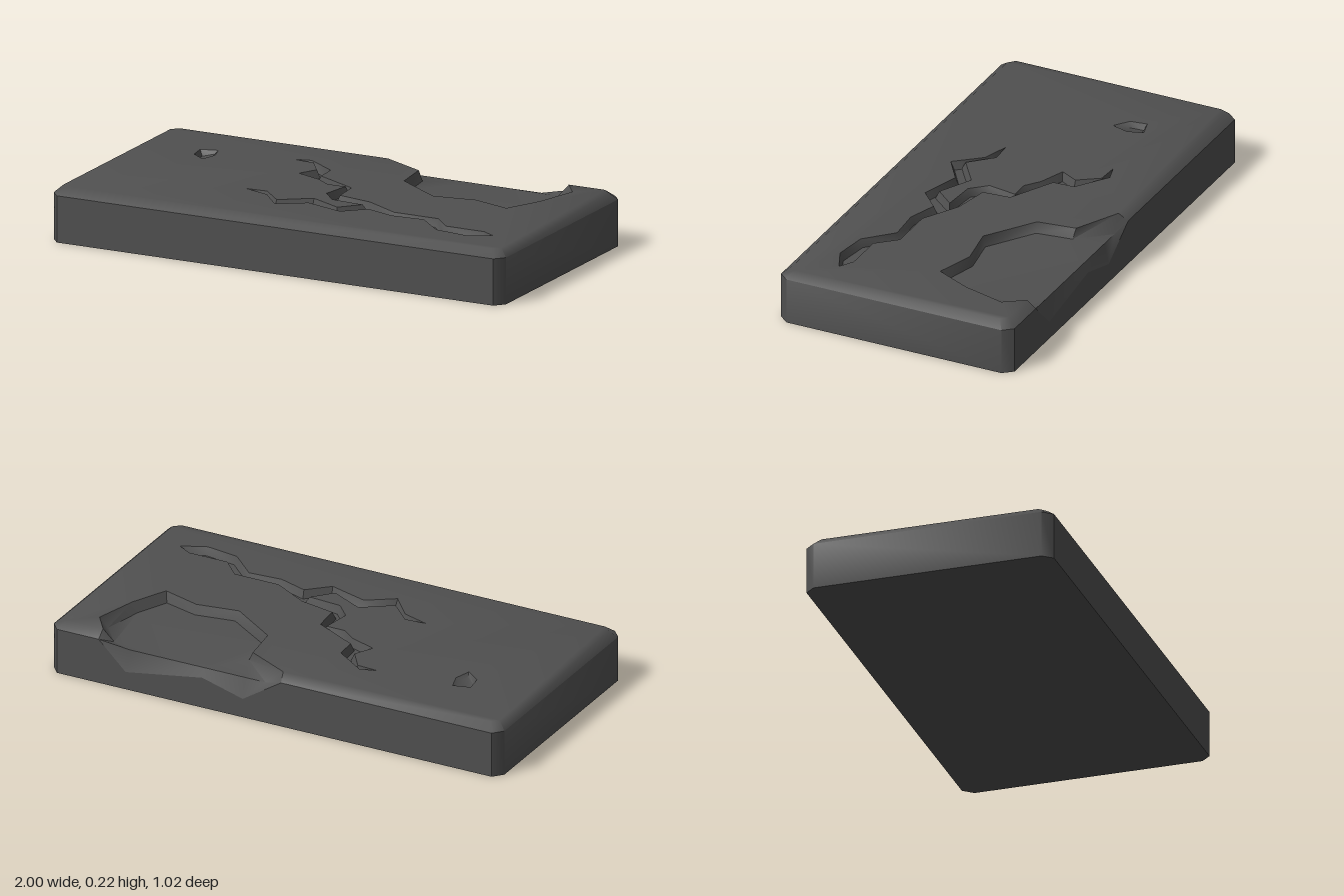
import * as THREE from 'three';
import { toCreasedNormals } from 'three/addons/utils/BufferGeometryUtils.js';

const TOP = 0.22, EDGE = 0.19;
const UP = [0, 1, 0], DOWN = [0, -1, 0], BACK = [0, 0, -1];
const lift = (pts, y) => pts.map(([x, z]) => [x, y, z]);

// Collects triangles, each turned to face along a hint direction
class Surface {
  constructor() { this.pos = []; }
  tri(a, b, c, hint) {
    const [A, B, C] = [a, b, c].map(p => new THREE.Vector3(...p));
    const n = B.clone().sub(A).cross(C.clone().sub(A));
    if (n.dot(new THREE.Vector3(...hint)) < 0) this.pos.push(...a, ...c, ...b);
    else this.pos.push(...a, ...b, ...c);
  }
  strip(p, q, hint, closed = false) {
    for (let i = 0; i < p.length - (closed ? 0 : 1); i++) {
      const j = (i + 1) % p.length;
      const h = hint || [p[i][0] + p[j][0], 0, p[i][2] + p[j][2]];
      this.tri(p[i], p[j], q[j], h);
      this.tri(p[i], q[j], q[i], h);
    }
  }
  // Fills a 3D outline, flattened on axes u and v
  fill(outline, hint, holes = [], u = 0, v = 2) {
    const flat = ps => ps.map(p => new THREE.Vector2(p[u], p[v]));
    const all = [outline, ...holes].flat();
    for (const [a, b, c] of THREE.ShapeUtils.triangulateShape(flat(outline), holes.map(flat)))
      this.tri(all[a], all[b], all[c], hint);
  }
  mesh(name, material) {
    const g = new THREE.BufferGeometry();
    g.setAttribute('position', new THREE.Float32BufferAttribute(this.pos, 3));
    const m = new THREE.Mesh(toCreasedNormals(g, 0.85), material);
    m.name = name;
    return m;
  }
}

// Moves an outline inward by d, with limited corner length
function inset(pts, d) {
  const sign = Math.sign(THREE.ShapeUtils.area(pts.map(p => new THREE.Vector2(...p))));
  const normal = (a, b) => {
    const l = Math.hypot(b[0] - a[0], b[1] - a[1]);
    return [-(b[1] - a[1]) / l * sign, (b[0] - a[0]) / l * sign];
  };
  return pts.map((p, i) => {
    const n = normal(pts.at(i - 1), p), m = normal(p, pts[(i + 1) % pts.length]);
    const k = d / Math.max(0.5, 1 + n[0] * m[0] + n[1] * m[1]);
    return [p[0] + (n[0] + m[0]) * k, p[1] + (n[1] + m[1]) * k];
  });
}

// Sunken area: sloping walls and a floor
function recess(name, outline, width, floorY, material) {
  const s = new Surface();
  const floor = inset(outline, width).map(([x, z]) => [x, floorY(x, z), z]);
  s.strip(lift(outline, TOP), floor, UP, true);
  s.fill(floor, UP);
  return s.mesh(name, material);
}

// Branching crack outline, as x and z
const crack = [
  [-0.34, -0.29], [-0.27, -0.31], [-0.14, -0.22], [-0.135, -0.13], [0.05, -0.035], [0.06, 0.08],
  [0.21, 0.11], [0.36, 0.195], [0.555, 0.195], [0.63, 0.275], [0.8, 0.275], [0.86, 0.31],
  [0.76, 0.355], [0.62, 0.335], [0.51, 0.23], [0.37, 0.24], [0.25, 0.2], [0.165, 0.28],
  [0, 0.23], [-0.11, 0.305], [-0.2, 0.2], [-0.31, 0.165], [-0.22, 0.16], [-0.13, 0.25],
  [-0.01, 0.165], [0.13, 0.235], [0.2, 0.155], [0.06, 0.145], [0, 0.08], [0.02, -0.04],
  [-0.06, -0.04], [-0.12, -0.085], [-0.23, -0.125], [-0.19, -0.2], [-0.25, -0.285],
];
const pit = [[-0.73, -0.245], [-0.66, -0.265], [-0.64, -0.2], [-0.66, -0.13], [-0.72, -0.175]];

// Broken back edge: rim on the top, floor edge, and notch on the back face
const chipRim = [[-0.02, -0.473], [0.165, -0.38], [0.185, -0.22], [0.385, -0.083], [0.56, -0.112],
  [0.72, -0.063], [0.79, -0.21], [0.84, -0.39], [0.78, -0.473]];
const chipFloor = [[0.05, -0.49], [0.185, -0.375], [0.205, -0.225], [0.395, -0.098], [0.56, -0.125],
  [0.705, -0.085], [0.765, -0.215], [0.805, -0.385], [0.735, -0.465]];
const notch = [[-0.03, EDGE], [0.14, 0.08], [0.32, 0.13], [0.66, 0.075], [0.78, EDGE]]
  .map(([x, y]) => [x, y, -0.51]);

// Octagonal outline, from the back left round the front
const octagon = (x1, x2, z1, z2) => [[-x1, -z2], [-x2, -z1], [-x2, z1], [-x1, z2],
  [x1, z2], [x2, z1], [x2, -z1], [x1, -z2]];

export function createModel() {
  const group = new THREE.Group();
  const stone = new THREE.MeshStandardMaterial({ color: 0x505050 });
  stone.name = 'dark stone';

  // Slab with bevelled top edge, open where it is broken
  const slab = new Surface();
  const side = octagon(0.965, 1, 0.47, 0.51), edge = lift(side, EDGE), base = lift(side, 0);
  const rim = lift([chipRim[0], ...octagon(0.94, 0.968, 0.447, 0.473), chipRim[8]], TOP);
  slab.strip([notch[0], ...edge, notch[4]], rim, UP);
  slab.strip(edge, base, null);
  slab.fill([base[0], edge[0], ...notch, edge[7], base[7]], BACK, [], 0, 1);
  slab.fill(base, DOWN);
  const topOutline = [...rim, ...lift(chipRim.slice(1, 8).reverse(), TOP)];
  slab.fill(topOutline, UP, [lift(crack, TOP), lift(pit, TOP)]);
  group.add(slab.mesh('slab', stone));

  // Crack and small pit
  group.add(recess('crack', crack, 0.013, () => 0.187, stone));
  group.add(recess('pit', pit, 0.012, x => 0.195 + (x + 0.72) * 0.25, stone));

  // Chip: wall, floor and sloping broken face at the back
  const chip = new Surface();
  const outer = lift(chipRim, TOP);
  const inner = chipFloor.map(([x, z]) => [x, z < -0.45 ? 0.17 : 0.18, z]);
  const back = [0.05, 0.14, 0.32, 0.65].map(x => [x, 0.165, -0.49]);
  inner[0] = back[0];
  chip.strip(outer, inner, UP);
  chip.fill([...inner, back[3], back[2], back[1]], UP);
  chip.strip(back, notch.slice(0, 4), BACK);
  chip.tri(outer[0], notch[0], inner[0], [0.3, 1, -0.5]);
  chip.tri(outer[8], notch[4], inner[8], [-0.3, 1, -0.5]);
  chip.tri(inner[8], notch[4], back[3], [-0.3, 0.5, -1]);
  chip.tri(back[3], notch[4], notch[3], BACK);
  group.add(chip.mesh('chippedEdge', stone));

  return group;
}
